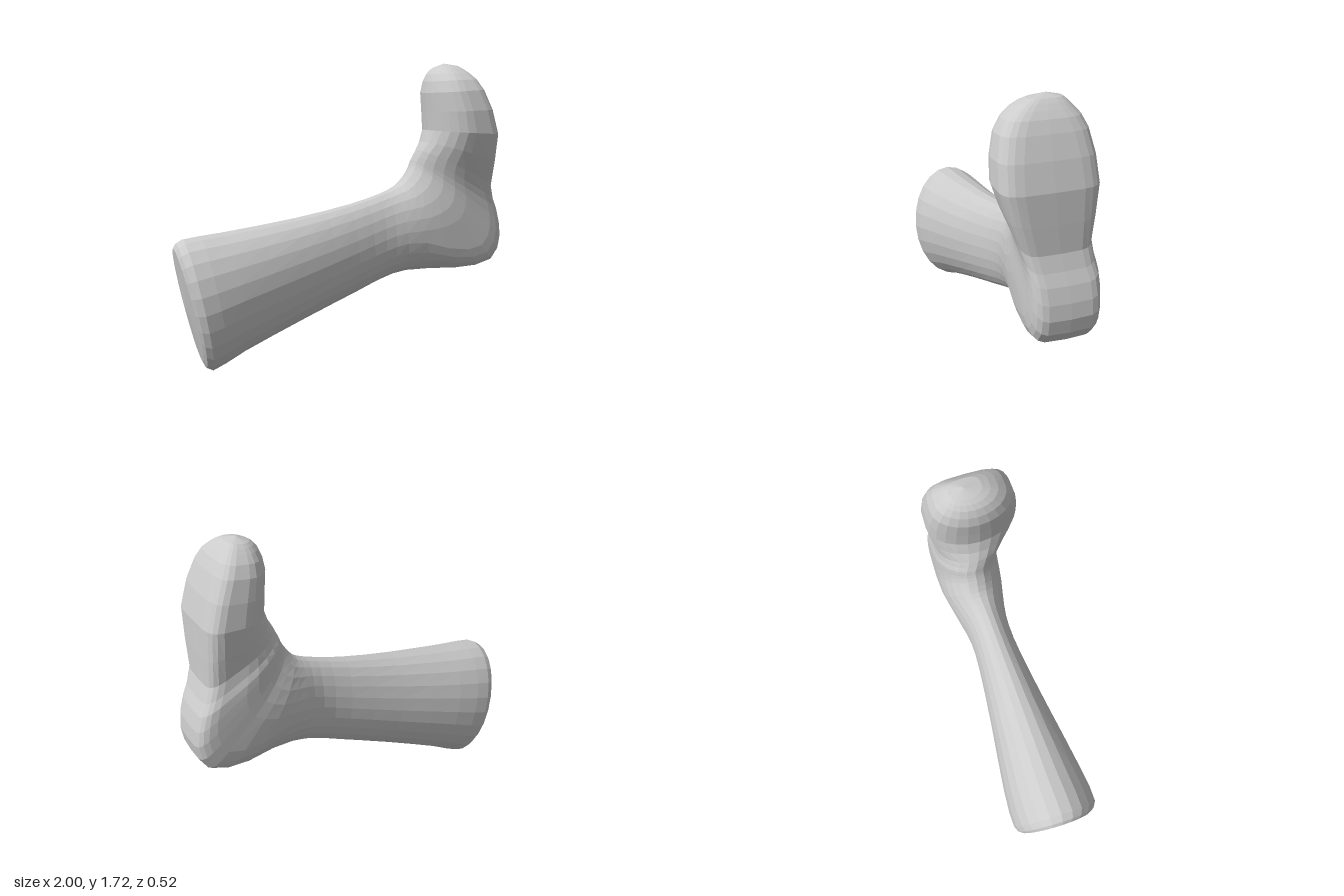
import * as THREE from 'three';

const SIDES = 24;
const STEPS = 2; // rings per span between key sections

// Key sections: upper/instep point (x, y), lower/sole point (x, y),
// z centre, half width.
const KEYS = [
  // cuff rim, shaft and ankle
  [-1.00, 0.70, -0.86, 0.05, -0.01, 0.21],
  [-0.95, 0.75, -0.81, 0.00, 0, 0.255],
  [-0.72, 0.775, -0.62, 0.09, -0.01, 0.24],
  [-0.30, 0.83, -0.26, 0.235, -0.025, 0.18],
  [0.03, 0.89, 0.07, 0.36, -0.04, 0.135],
  [0.22, 0.94, 0.24, 0.425, -0.05, 0.125],
  // fan around the instep, over the heel
  [0.32, 0.975, 0.40, 0.462, -0.06, 0.145],
  [0.375, 1.01, 0.72, 0.465, -0.065, 0.182],
  [0.42, 1.07, 0.94, 0.51, -0.06, 0.19],
  [0.44, 1.11, 1.00, 0.66, -0.06, 0.19],
  [0.45, 1.14, 0.965, 0.83, -0.055, 0.19],
  // forefoot up to the toe
  [0.475, 1.20, 0.905, 0.98, -0.03, 0.197],
  [0.525, 1.32, 0.895, 1.30, 0, 0.26],
  [0.505, 1.54, 0.81, 1.56, 0, 0.228],
  [0.535, 1.65, 0.75, 1.655, -0.01, 0.155],
  [0.58, 1.69, 0.705, 1.70, -0.03, 0.09],
];

const smoothCurve = (points) => new THREE.CatmullRomCurve3(points, false, 'catmullrom', 0.5);

function loft(keys, startTip, endTip) {
  // upper carries the z centre, lower carries the half width
  const upper = smoothCurve(keys.map(([ax, ay, , , z]) => new THREE.Vector3(ax, ay, z)));
  const lower = smoothCurve(keys.map(([, , bx, by, , w]) => new THREE.Vector3(bx, by, w)));
  const spans = (keys.length - 1) * STEPS;
  const positions = [];
  const index = [];
  for (let i = 0; i <= spans; i++) {
    const a = upper.getPoint(i / spans);
    const b = lower.getPoint(i / spans);
    // the sole side gets squarer towards the heel and forefoot
    const square = 2 + 3.5 * THREE.MathUtils.smoothstep(b.x, 0.5, 1);
    for (let j = 0; j < SIDES; j++) {
      const t = (j / SIDES) * Math.PI * 2;
      const c = Math.cos(t), s = Math.sin(t);
      const e = c < 0 ? 2 / square : 1;
      const u = Math.sign(c) * Math.abs(c) ** e;
      const v = Math.sign(s) * Math.abs(s) ** e;
      positions.push(
        (a.x + b.x + u * (a.x - b.x)) / 2,
        (a.y + b.y + u * (a.y - b.y)) / 2,
        a.z + v * b.z
      );
    }
  }
  const last = spans * SIDES;
  const start = last + SIDES;
  positions.push(...startTip, ...endTip);
  for (let j = 0; j < SIDES; j++) {
    const k = (j + 1) % SIDES;
    for (let r = 0; r < last; r += SIDES) {
      index.push(r + j, r + k, r + SIDES + j);
      index.push(r + k, r + SIDES + k, r + SIDES + j);
    }
    // closed ends
    index.push(start, k, j);
    index.push(start + 1, last + j, last + k);
  }
  const geometry = new THREE.BufferGeometry();
  geometry.setAttribute('position', new THREE.Float32BufferAttribute(positions, 3));
  geometry.setIndex(index);
  geometry.computeVertexNormals();
  return geometry;
}

export function createModel() {
  const group = new THREE.Group();
  group.name = 'boot';
  const material = new THREE.MeshStandardMaterial({ color: 0xcccccc, flatShading: true });

  // one continuous skin from the cuff, round the heel, to the toe
  const boot = new THREE.Mesh(
    loft(KEYS, [-0.945, 0.36, -0.01], [0.645, 1.715, -0.04]),
    material
  );
  boot.name = 'bootShaftAndFoot';
  group.add(boot);
  return group;
}
